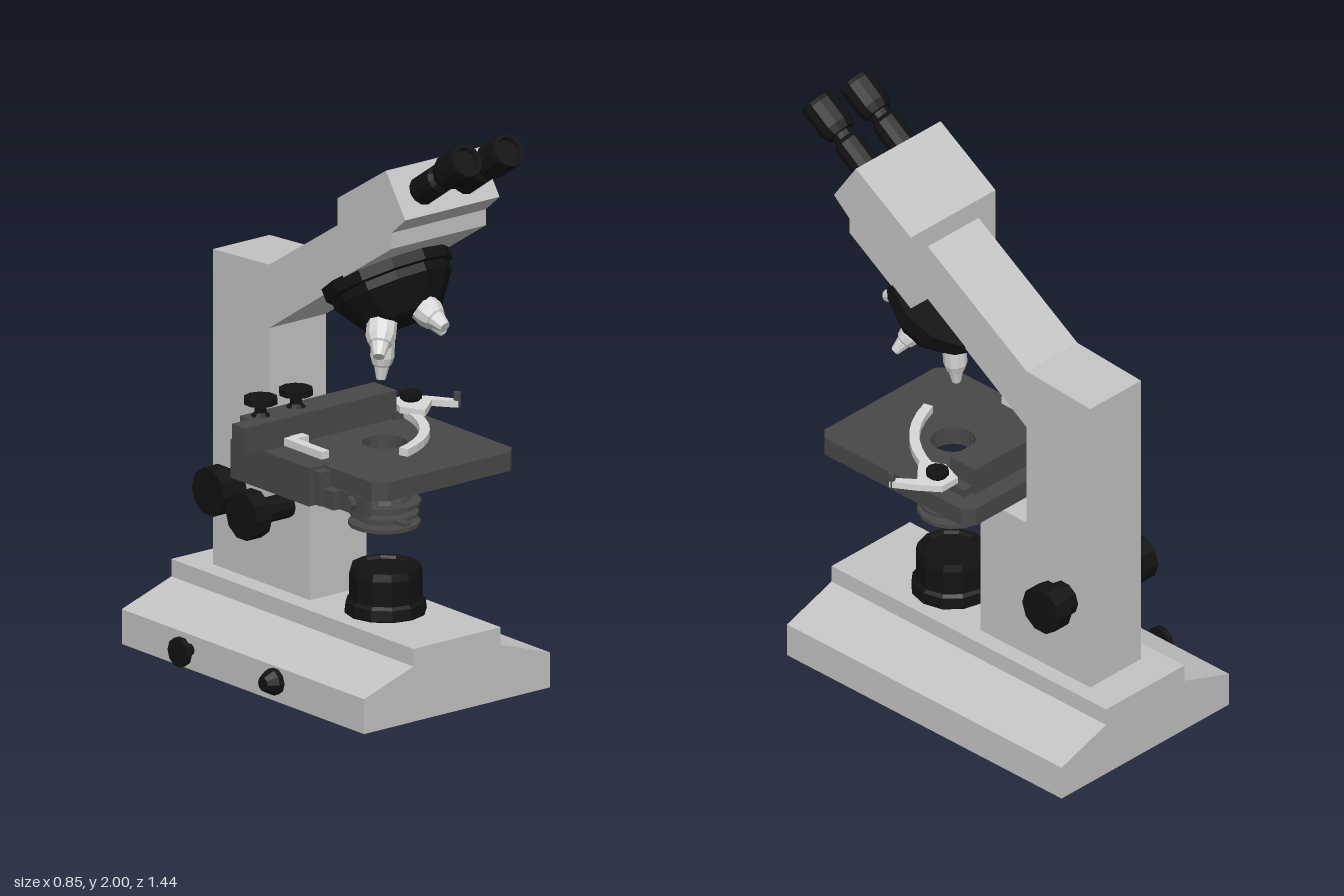
import * as THREE from 'three';

const mat = (name, color, side = THREE.FrontSide) => {
  const m = new THREE.MeshStandardMaterial({ color, flatShading: true, side });
  m.name = name;
  return m;
};

export function createModel() {
  const root = new THREE.Group();
  root.name = 'microscope';
  const grey = mat('body grey', 0xc4c4c4);
  const shell = mat('base grey', 0xc4c4c4, THREE.DoubleSide);
  const dark = mat('stage grey', 0x484848);
  const black = mat('black', 0x121212);
  const steel = mat('steel', 0xd8d8d6);
  const CX = 0.03, OZ = 0.15; // mid plane and optical axis

  const add = (name, geo, material) => {
    const m = new THREE.Mesh(geo, material);
    m.name = name;
    root.add(m);
    return m;
  };
  const shapeOf = pts => new THREE.Shape(pts.map(p => new THREE.Vector2(...p)));
  const extrude = (shape, depth) =>
    new THREE.ExtrudeGeometry(shape, { depth, bevelEnabled: false, curveSegments: 8 });
  // (z, y) outline swept across x
  const sideSweep = (pts, x0, x1) =>
    extrude(shapeOf(pts), x1 - x0).rotateY(-Math.PI / 2).translate(x1, 0, 0);
  // (x, z) outline swept downward from top
  const planSweep = (shape, y0, y1) =>
    extrude(shape, y1 - y0).rotateX(Math.PI / 2).translate(0, y1, 0);
  const box = (name, x0, x1, y0, y1, z0, z1, material) =>
    add(name, new THREE.BoxGeometry(x1 - x0, y1 - y0, z1 - z0)
      .translate((x0 + x1) / 2, (y0 + y1) / 2, (z0 + z1) / 2), material);
  // [radius, distance] profile turned about a direction
  const UP = new THREE.Vector3(0, 1, 0);
  const turned = (name, profile, pos, dir, material, sides = 12) => {
    const m = add(name, new THREE.LatheGeometry(profile.map(p => new THREE.Vector2(...p)), sides), material);
    m.position.set(...pos);
    m.quaternion.setFromUnitVectors(UP, new THREE.Vector3(...dir).normalize());
    return m;
  };

  // Hollow base, open underneath
  const baseGeo = extrude(shapeOf([[-0.37, 0], [0.42, 0], [0.42, 0.12], [0.21, 0.19],
    [0.21, 0.25], [-0.16, 0.25], [-0.16, 0.19], [-0.37, 0.12]]), 1.25).translate(0, 0, -0.72);
  const src = baseGeo.getAttribute('position');
  const kept = [];
  for (let i = 0; i < src.count; i += 3) {
    if ([0, 1, 2].every(k => src.getY(i + k) < 1e-4)) continue;
    for (let k = 0; k < 3; k++) kept.push(src.getX(i + k), src.getY(i + k), src.getZ(i + k));
  }
  const openBase = new THREE.BufferGeometry();
  openBase.setAttribute('position', new THREE.Float32BufferAttribute(kept, 3));
  openBase.computeVertexNormals();
  add('base', openBase, shell);

  // Switch and brightness dial on the base
  turned('powerSwitch', [[0, 0], [0.02, 0], [0.02, 0.035], [0.05, 0.035], [0.05, 0.057], [0, 0.057]],
    [-0.37, 0.07, -0.365], [-1, 0, 0], black, 10);
  turned('brightnessDial', [[0, 0], [0.045, 0], [0.045, 0.02], [0.025, 0.055], [0, 0.055]],
    [-0.37, 0.07, 0.075], [-1, 0, 0], black, 10);

  // Column, arm and head
  add('arm', sideSweep([[-0.59, 0.245], [-0.09, 0.245], [-0.09, 0.763], [-0.3, 0.763], [-0.3, 1.135],
    [0.16, 1.435], [0.16, 1.645], [-0.3, 1.353], [-0.59, 1.335]], -0.09, 0.15), grey);
  add('head', sideSweep([[0.15, 1.425], [0.43, 1.605], [0.43, 1.66], [0.5, 1.72],
    [0.4, 1.867], [0.15, 1.71]], -0.17, 0.23), grey);

  // Eyepieces
  for (const x of [-0.06, 0.117]) {
    turned('eyepiece', [[0, -0.02], [0.05, -0.02], [0.05, 0.115], [0.037, 0.13], [0.037, 0.15],
      [0.052, 0.152], [0.062, 0.18], [0.062, 0.27], [0.058, 0.284], [0.045, 0.284], [0.04, 0.272], [0, 0.272]],
      [x, 1.788, 0.452], [0, 0.57, 0.82], black);
  }

  // Revolving nosepiece
  const axis = new THREE.Vector3(0, -0.841, 0.541);
  const pivot = [0.04, 1.41, 0.15];
  turned('nosepiece', [[0, -0.02], [0.222, -0.02], [0.222, 0.025], [0.205, 0.03], [0.205, 0.06],
    [0.135, 0.16], [0.1, 0.175], [0, 0.175]], pivot, axis.toArray(), black);

  // Objectives on a cone about the nosepiece axis; the first points straight down
  const tilt = 0.572;
  const back = new THREE.Vector3(0, -0.541, -0.841);
  [[0.36, 0.04], [0.28, 0.04], [0.3, 0.05], [0.32, 0.05]].forEach(([len, r], i) => {
    const phi = (-8 + 90 * i) * Math.PI / 180;
    const dir = axis.clone().multiplyScalar(Math.cos(tilt))
      .addScaledVector(back, Math.sin(tilt) * Math.cos(phi))
      .addScaledVector(new THREE.Vector3(1, 0, 0), Math.sin(tilt) * Math.sin(phi));
    turned('objective', [[0, 0.12], [r * 0.85, 0.12], [r * 0.85, len - 0.14], [r, len - 0.135], [r, len - 0.075],
      [r * 0.8, len - 0.05], [r * 0.65, len - 0.045], [r * 0.4, len], [0, len]],
      pivot, dir.toArray(), steel, 10);
  });

  // Stage plate with light hole
  const plate = shapeOf([[-0.28, -0.195], [0.28, -0.195], [0.315, -0.16], [0.315, 0.46],
    [0.28, 0.495], [-0.24, 0.495], [-0.28, 0.46]]);
  const hole = new THREE.Path();
  hole.absarc(CX, OZ, 0.075, 0, Math.PI * 2, true);
  plate.holes.push(hole);
  add('stage', planSweep(plate, 0.765, 0.83), dark);

  // Side rail of the stage
  box('stageRail', -0.345, -0.26, 0.7, 0.832, -0.19, 0.215, dark);
  box('railStep', -0.325, -0.262, 0.705, 0.82, 0.21, 0.25, dark);
  box('railExtension', -0.31, -0.265, 0.7, 0.764, 0.24, 0.3, dark);
  box('railEnd', -0.285, -0.255, 0.7, 0.766, 0.29, 0.43, dark);
  turned('railStud', [[0, 0], [0.025, 0], [0.025, 0.02], [0, 0.02]], [-0.29, 0.74, 0.37], [-1, 0, 0], dark, 8);

  // Slide carriage bar with thumb knobs
  box('carriageBar', -0.35, 0.22, 0.831, 0.927, -0.135, -0.02, dark);
  box('carriageBarEnd', -0.425, -0.35, 0.838, 0.927, -0.085, -0.02, dark);
  for (const x of [-0.295, -0.145]) {
    turned('carriageKnob', [[0, 0], [0.035, 0], [0.02, 0.015], [0.02, 0.035], [0.057, 0.045], [0.057, 0.066], [0, 0.066]],
      [x, 0.925, -0.095], [0, 1, 0], black, 10);
  }

  // Slide clips: fixed bracket, curved finger and lever
  box('fixedClip', -0.262, -0.23, 0.836, 0.862, -0.015, 0.18, steel);
  box('fixedClipFoot', -0.231, -0.18, 0.836, 0.862, -0.02, 0.015, steel);
  const curve = new THREE.QuadraticBezierCurve3(new THREE.Vector3(0.25, 0, 0),
    new THREE.Vector3(0.2, 0.25, 0), new THREE.Vector3(-0.03, 0.32, 0));
  const inner = [], outer = [];
  for (let i = 0; i <= 8; i++) {
    const p = curve.getPoint(i / 8), t = curve.getTangent(i / 8);
    inner.push([p.x - t.y * 0.017, p.y + t.x * 0.017]);
    outer.unshift([p.x + t.y * 0.017, p.y - t.x * 0.017]);
  }
  add('clipFinger', planSweep(shapeOf([...inner, ...outer]), 0.836, 0.862), steel);
  add('clipLever', planSweep(shapeOf([[0.21, 0.01], [0.24, -0.075], [0.315, -0.075], [0.365, -0.01],
    [0.415, 0.07], [0.395, 0.085], [0.34, 0.015], [0.29, 0.06], [0.25, 0.09]]), 0.857, 0.88), steel);
  turned('leverPin', [[0, 0], [0.013, 0], [0.013, 0.05], [0, 0.05]], [0.402, 0.857, 0.072], [0, 1, 0], dark, 8);
  turned('clipScrew', [[0, 0], [0.025, 0], [0.038, 0.012], [0.038, 0.03], [0, 0.03]],
    [0.283, 0.878, -0.022], [0, 1, 0], black, 10);
  box('clipMount', 0.2, 0.26, 0.832, 0.858, -0.12, 0, dark);

  // Condenser with its bracket
  turned('condenser', [[0, 0.545], [0.07, 0.545], [0.07, 0.552], [0.12, 0.552], [0.12, 0.565], [0.085, 0.57],
    [0.085, 0.585], [0.115, 0.587], [0.115, 0.598], [0.08, 0.602], [0.08, 0.618], [0.122, 0.622], [0.122, 0.636],
    [0.09, 0.64], [0.085, 0.655], [0.055, 0.662], [0.05, 0.68], [0.03, 0.692], [0, 0.692]],
    [0.025, 0, 0.155], [0, 1, 0], dark, 14);
  box('condenserLever', -0.02, 0.01, 0.586, 0.598, 0.15, 0.31, dark);
  add('condenserBracket', sideSweep([[-0.1, 0.56], [-0.05, 0.565], [-0.02, 0.6], [0.06, 0.612],
    [0.06, 0.635], [-0.1, 0.635]], 0, 0.06), dark);

  // Lamp housing
  turned('lamp', [[0, 0.235], [0.13, 0.235], [0.137, 0.255], [0.133, 0.29], [0.122, 0.3], [0.122, 0.385],
    [0.115, 0.41], [0.1, 0.41], [0.095, 0.4], [0, 0.4]], [CX, 0, 0.155], [0, 1, 0], black);

  // Focus knobs on both sides, condenser knob on one side
  for (const s of [-1, 1]) {
    turned('focusKnob', [[0, 0], [0.06, 0], [0.06, 0.055], [0.083, 0.055], [0.083, 0.118], [0, 0.118]],
      [CX + s * 0.118, 0.55, -0.475], [s, 0, 0], black, 10);
  }
  turned('condenserKnob', [[0, 0], [0.042, 0], [0.042, 0.135], [0.083, 0.135], [0.083, 0.197], [0, 0.197]],
    [-0.088, 0.55, -0.205], [-1, 0, 0], black, 10);

  return root;
}
